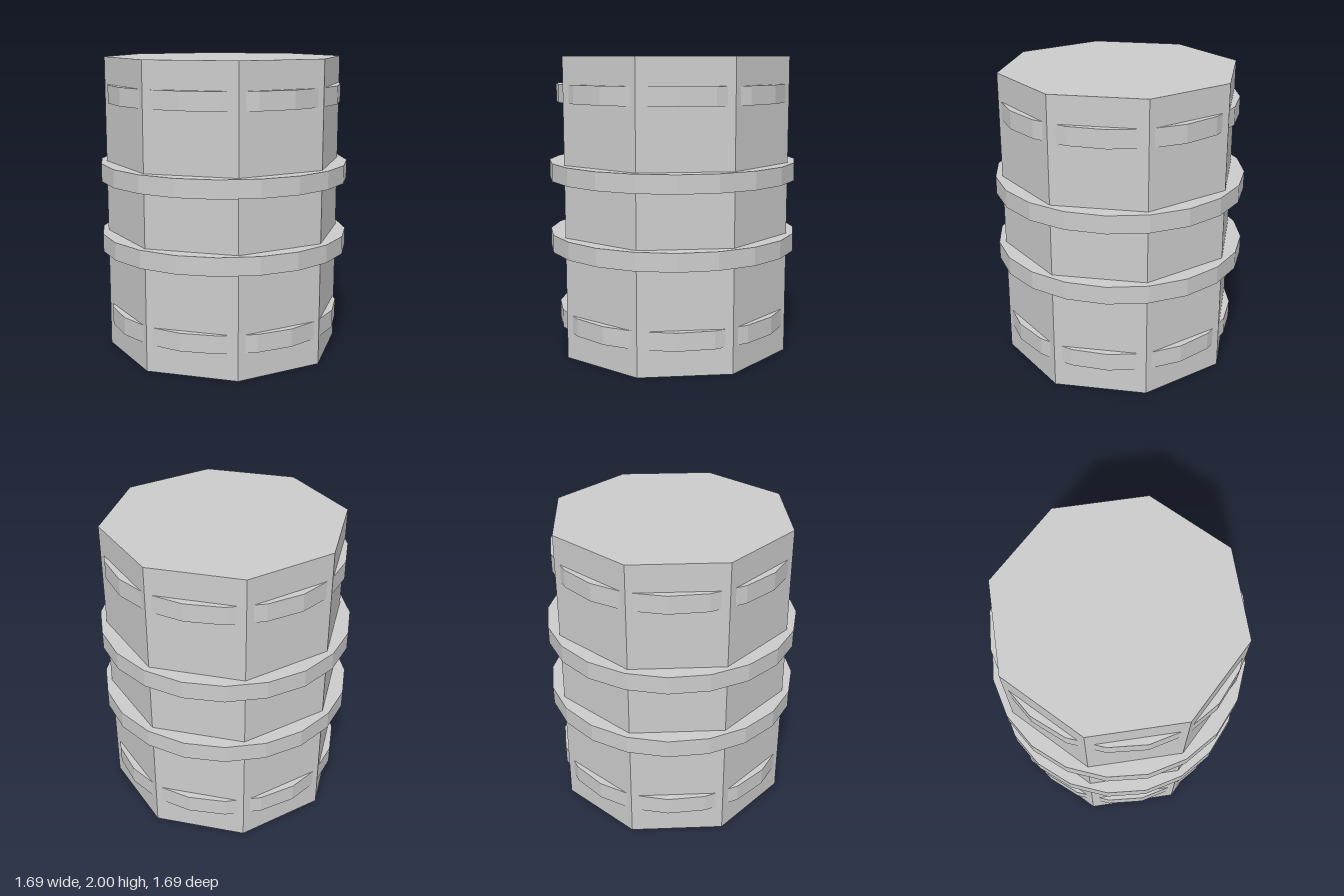
import * as THREE from 'three';

export function createModel() {
  const group = new THREE.Group();
  const grey = new THREE.MeshStandardMaterial({ color: 0xcccccc, flatShading: true });
  grey.name = 'light grey';

  // Upright prism with a corner facing the front
  function addPrism(name, radius, height, sides, y) {
    const mesh = new THREE.Mesh(new THREE.CylinderGeometry(radius, radius, height, sides), grey);
    mesh.name = name;
    mesh.position.y = y;
    group.add(mesh);
  }

  // Eight-sided barrel body
  addPrism('body', 0.8, 2, 8, 1);

  // Hoops: the outer pair is narrow and tucks into the body corners
  const hoops = [
    ['bottomHoop', 0.79, 0.24],
    ['lowerMiddleHoop', 0.845, 0.76],
    ['upperMiddleHoop', 0.845, 1.24],
    ['topHoop', 0.79, 1.76],
  ];
  for (const [name, radius, y] of hoops) addPrism(name, radius, 0.12, 20, y);

  return group;
}
